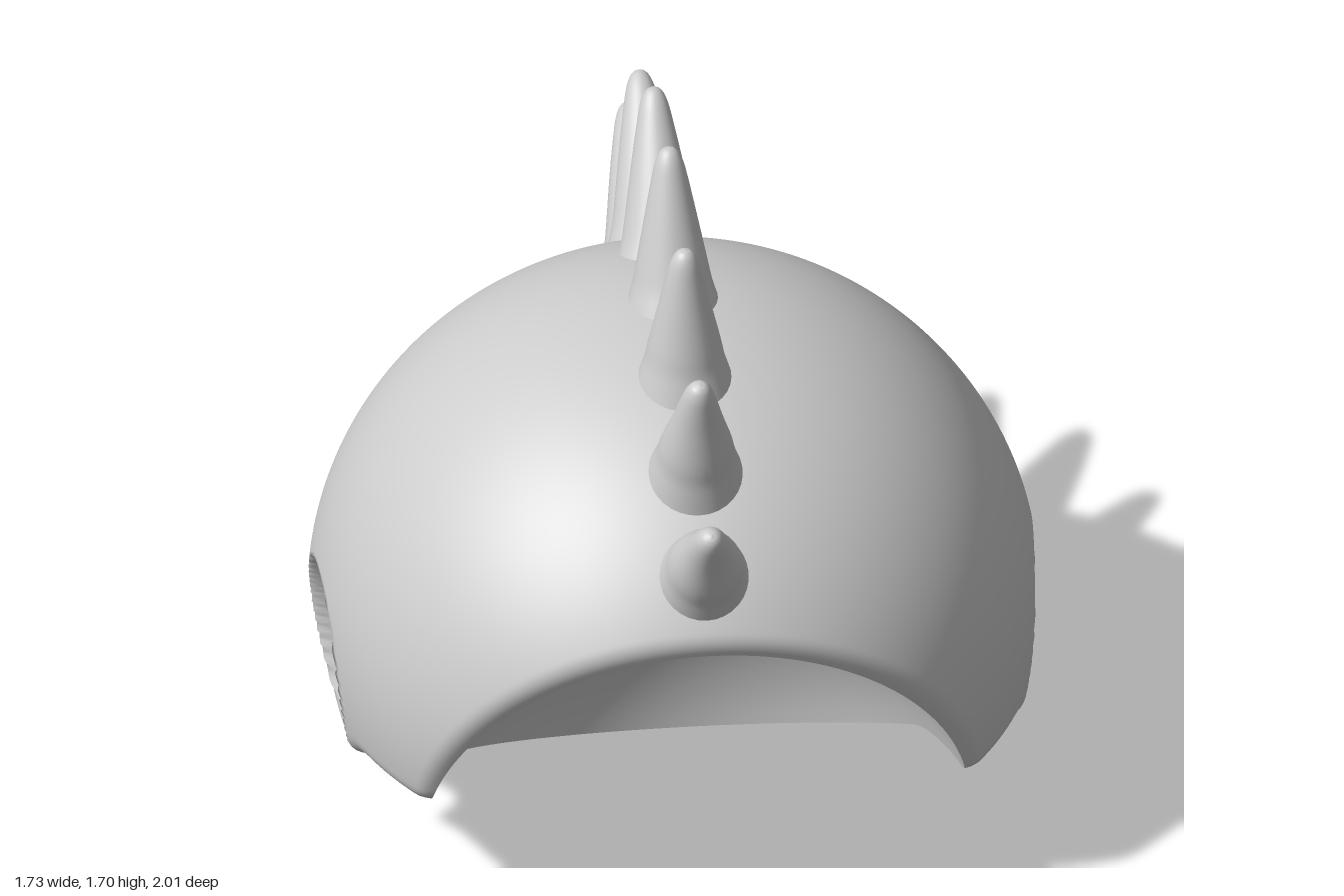
import * as THREE from 'three';

const V = (x, y, z) => new THREE.Vector3(x, y, z);
const material = new THREE.MeshStandardMaterial({ color: 0xcccccc });

// Point inside the hollow from which every surface is swept, and the axis through the opening
const ORIGIN = V(0, 0.45, 0.35);
const AXIS = V(0, -0.69, 0.72).normalize();
const U = V(1, 0, 0);
const W = new THREE.Vector3().crossVectors(AXIS, U);

const ellipsoid = (x, y, z, c, r) =>
  Math.hypot((x - c[0]) / r[0], (y - c[1]) / r[1], (z - c[2]) / r[2]) - 1;

// Maximum with a rounded edge
function softMax(a, b, k) {
  const h = Math.max(k - Math.abs(a - b), 0);
  return Math.max(a, b) + (h * h) / (4 * k);
}

// Dome with a raked front and stepped underside
function outerField(x, y, z) {
  const dome = 0.86 * ellipsoid(x, y, z, [0, 0.49, 0.09], [0.876, 0.85, z > 0.09 ? 0.95 : 0.845]);
  const front = (z - 0.685) * 0.92 - (y - 0.33) * 0.39;
  const slope = (0.31 - (0.45 - z) * 0.585 - y) * 0.866;
  const cheek = -softMax(y - 0.315, -slope, 0.02);
  const under = softMax(-y, cheek, 0.02);
  return softMax(softMax(dome, front, 0.025), under, 0.05);
}

const hollowField = (x, y, z) => ellipsoid(x, y, z, [0, 0.12, 0.8], [0.68, 0.75, 0.67]);

// Press the ear scoop sideways into the shell
function pressEar(p) {
  const s = Math.hypot((p.y - 0.36) / 0.318, (p.z - 0.15) / 0.261);
  if (s >= 1) return;
  const limit = 1.1 - 0.55 * Math.sqrt(1 - s * s);
  const x = Math.abs(p.x);
  if (x > 0.5) p.x = -Math.sign(p.x) * softMax(-x, -limit, 0.02);
}

// Distance from ORIGIN along d to where the field turns positive
function reach(field, d) {
  const at = (r) => field(ORIGIN.x + d.x * r, ORIGIN.y + d.y * r, ORIGIN.z + d.z * r);
  let hi = 0.03;
  while (hi < 2 && at(hi) < 0) hi += 0.03;
  let lo = hi - 0.03;
  for (let i = 0; i < 16; i++) {
    const mid = (lo + hi) / 2;
    if (at(mid) < 0) lo = mid;
    else hi = mid;
  }
  return (lo + hi) / 2;
}

function direction(theta, phi) {
  return AXIS.clone().multiplyScalar(Math.cos(theta))
    .addScaledVector(U, Math.sin(theta) * Math.cos(phi))
    .addScaledVector(W, Math.sin(theta) * Math.sin(phi));
}

// Angle from AXIS at which the hollow meets the outer surface
function rimAngle(phi) {
  const open = (t) => {
    const d = direction(t, phi);
    return reach(hollowField, d) > reach(outerField, d);
  };
  let hi = 0.1;
  while (hi < 3 && open(hi)) hi += 0.05;
  let lo = hi - 0.05;
  for (let i = 0; i < 14; i++) {
    const mid = (lo + hi) / 2;
    if (open(mid)) lo = mid;
    else hi = mid;
  }
  return (lo + hi) / 2;
}

// Surface swept from the rim to the pole opposite the opening
function sweep(rim, rows, field, inward) {
  const n = rim.length, positions = [], index = [];
  for (let i = 0; i <= rows; i++) {
    for (let j = 0; j < n; j++) {
      const theta = THREE.MathUtils.lerp(rim[j], Math.PI, i / rows);
      const d = direction(theta, (j / n) * Math.PI * 2);
      const p = d.clone().multiplyScalar(reach(field, d)).add(ORIGIN);
      if (!inward) pressEar(p);
      positions.push(p.x, p.y, p.z);
      if (i === rows) continue;
      const a = i * n + j, d2 = i * n + ((j + 1) % n);
      const b = a + n, c = d2 + n;
      if (inward) index.push(a, c, b, a, d2, c);
      else index.push(a, b, c, a, c, d2);
    }
  }
  const g = new THREE.BufferGeometry();
  g.setAttribute('position', new THREE.Float32BufferAttribute(positions, 3));
  g.setIndex(index);
  g.computeVertexNormals();
  return g;
}

// Round-tipped spike with a flared foot, from base to tip in the x = 0 plane
function makeSpike([bz, by, tz, ty]) {
  const base = V(0, by, bz), tip = V(0, ty, tz);
  const L = base.distanceTo(tip);
  const foot = [[0.13, -0.07], [0.108, 0], [0.096, 0.04], [0.086, 0.09]];
  const top = [[0.061, 0.57], [0.044, 0.79], [0.034, 0.9], [0.023, 0.965], [0.012, 0.992]];
  const points = [...foot, ...top.map(([r, t]) => [r, t * L])];
  const curve = new THREE.SplineCurve(points.map(([r, h]) => new THREE.Vector2(r, h)));
  const profile = [...curve.getPoints(28), new THREE.Vector2(0, L)];
  const mesh = new THREE.Mesh(new THREE.LatheGeometry(profile, 32), material);
  mesh.position.copy(base);
  mesh.quaternion.setFromUnitVectors(V(0, 1, 0), tip.sub(base).normalize());
  return mesh;
}

export function createModel() {
  const group = new THREE.Group();
  group.name = 'spikedHelmet';
  const add = (mesh, name) => {
    mesh.name = name;
    group.add(mesh);
  };

  // Shell and hollow share the same rim
  const count = 300;
  const rim = Array.from({ length: count }, (_, j) => rimAngle((j / count) * Math.PI * 2));
  add(new THREE.Mesh(sweep(rim, 160, outerField, false), material), 'helmetShell');
  add(new THREE.Mesh(sweep(rim, 40, hollowField, true), material), 'faceHollow');

  // Crest of spikes, front to back: base z, base y, tip z, tip y
  const spikes = [
    [0.81, 1.03, 0.995, 1.265],
    [0.61, 1.21, 0.71, 1.51],
    [0.35, 1.31, 0.355, 1.66],
    [0.07, 1.33, -0.025, 1.7],
    [-0.19, 1.27, -0.4, 1.62],
    [-0.42, 1.15, -0.735, 1.44],
    [-0.6, 0.97, -1.0, 1.165],
  ];
  spikes.forEach((s, i) => add(makeSpike(s), `crestSpike${i + 1}`));
  return group;
}
